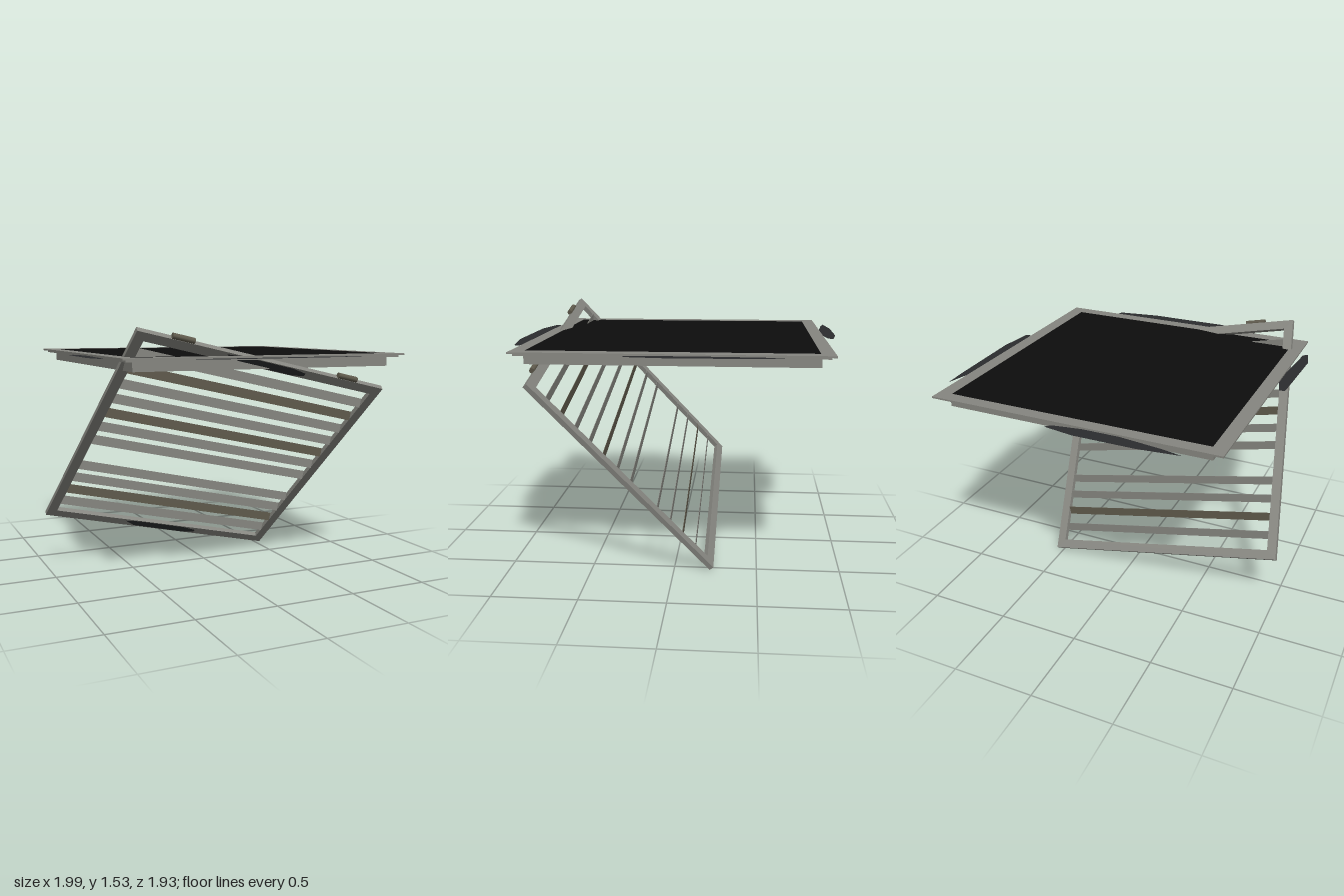
import * as THREE from 'three';

const material = (name, color, side = THREE.FrontSide) => {
  const m = new THREE.MeshStandardMaterial({ color, side });
  m.name = name;
  return m;
};

const add = (parent, name, geometry, mat, x = 0, y = 0, z = 0) => {
  const mesh = new THREE.Mesh(geometry, mat);
  mesh.name = name;
  mesh.position.set(x, y, z);
  parent.add(mesh);
  return mesh;
};

// Rectangular ring lying in XY, from z = 0 to z = depth
function ring(w, h, innerW, innerH, depth) {
  const rect = (a, b) => [[-a, -b], [a, -b], [a, b], [-a, b]].map(([x, y]) => new THREE.Vector2(x / 2, y / 2));
  const shape = new THREE.Shape(rect(w, h));
  shape.holes.push(new THREE.Path(rect(innerW, innerH).reverse()));
  return new THREE.ExtrudeGeometry(shape, { depth, bevelEnabled: false });
}

const outline = (points) =>
  new THREE.ShapeGeometry(new THREE.Shape(points.map(([x, y]) => new THREE.Vector2(x, y))));

export function createModel() {
  const grey = material('grey metal', 0x868680);
  const brown = material('brown metal', 0x5f5a4c);
  const black = material('black', 0x0d0d0d);
  const dark = material('dark sheet', 0x2b2c2e, THREE.DoubleSide);

  const model = new THREE.Group();
  model.name = 'hatch and grate';

  // Horizontal hatch: stepped flange, thin skirt, black opening
  const hatch = new THREE.Group();
  hatch.name = 'hatch';
  hatch.position.set(0.04, 0, -0.012);
  model.add(hatch);
  const flat = (name, geometry, bottom) => add(hatch, name, geometry.rotateX(-Math.PI / 2), grey, 0, bottom, 0);
  flat('flange', ring(1.75, 1.745, 1.585, 1.59, 0.01), 1.37);
  flat('flangeStep', ring(1.7, 1.695, 1.585, 1.59, 0.012), 1.358);
  flat('skirt', ring(1.6, 1.605, 1.585, 1.59, 0.06), 1.305);
  add(hatch, 'opening', new THREE.BoxGeometry(1.585, 0.008, 1.59), black, 0, 1.375, 0);

  // Flat dark sheets around the hatch, outlined in x and z
  const sheets = {
    backSheet: [[-0.64, -0.945], [-0.4, -0.97], [-0.035, -0.97], [0.15, -0.94], [0.12, -0.91], [-0.05, -0.885], [-0.27, -0.885], [-0.53, -0.92]],
    leftSheet: [[0.965, -0.66], [0.925, -0.51], [0.905, 0.1], [0.935, 0.235], [0.965, 0.22], [0.99, 0], [0.975, -0.5]],
    frontSheet: [[-0.455, 0.885], [-0.28, 0.855], [0.32, 0.855], [0.58, 0.885], [0.57, 0.92], [0.31, 0.96], [-0.26, 0.96], [-0.45, 0.92]],
    rightSheet: [[-0.9, 0.03], [-0.865, 0.02], [-0.835, 0.14], [-0.835, 0.29], [-0.86, 0.62], [-0.885, 0.645], [-0.92, 0.51], [-0.905, 0.13]],
  };
  for (const [name, points] of Object.entries(sheets)) {
    add(model, name, outline(points).rotateX(Math.PI / 2), dark, 0, 1.37, 0);
  }

  // Tilted square grate, built in its own plane
  const grate = new THREE.Group();
  grate.name = 'grate';
  const across = new THREE.Vector3(0.975, -0.221, 0).normalize();
  const up = new THREE.Vector3(0.167, 0.739, 0.654).normalize();
  const out = across.clone().cross(up).normalize();
  up.copy(out).cross(across);
  grate.quaternion.setFromRotationMatrix(new THREE.Matrix4().makeBasis(across, up, out));
  grate.position.set(-0.1, 0.77, 0.288);
  model.add(grate);

  const size = 1.578, bar = 0.057, depth = 0.03;
  add(grate, 'grateFrame', ring(size, size, size - 2 * bar, size - 2 * bar, depth), grey, 0, 0, -depth / 2);

  // Louvre slats stand upright; one is missing and three are brown
  for (let i = 0; i < 12; i++) {
    if (i === 7) continue;
    const isBrown = i === 1 || i === 4 || i === 10;
    const slat = add(grate, isBrown ? 'brownSlat' : 'slat',
      new THREE.BoxGeometry(size - 2 * bar, 0.055, 0.003), isBrown ? brown : grey, 0, 0.636 - i * 0.1157, 0);
    slat.rotation.x = -0.713;
  }

  // Hinge barrels on the top edge
  for (const side of [-1, 1]) {
    add(grate, 'hinge', new THREE.CylinderGeometry(0.017, 0.017, 0.13, 8).rotateZ(Math.PI / 2),
      brown, side * 0.528, size / 2 + 0.01, 0);
  }

  // Dark worn patches on the top and bottom bars
  for (const side of [-1, 1]) {
    add(grate, 'barPatch', outline([[-0.26, 0.015], [-0.19, -0.02], [0.17, -0.025], [0.25, -0.01], [0.25, 0.01], [0.16, 0.024], [-0.17, 0.026]]),
      dark, 0, side * (size - bar) / 2, depth / 2 + 0.002);
  }

  return model;
}
